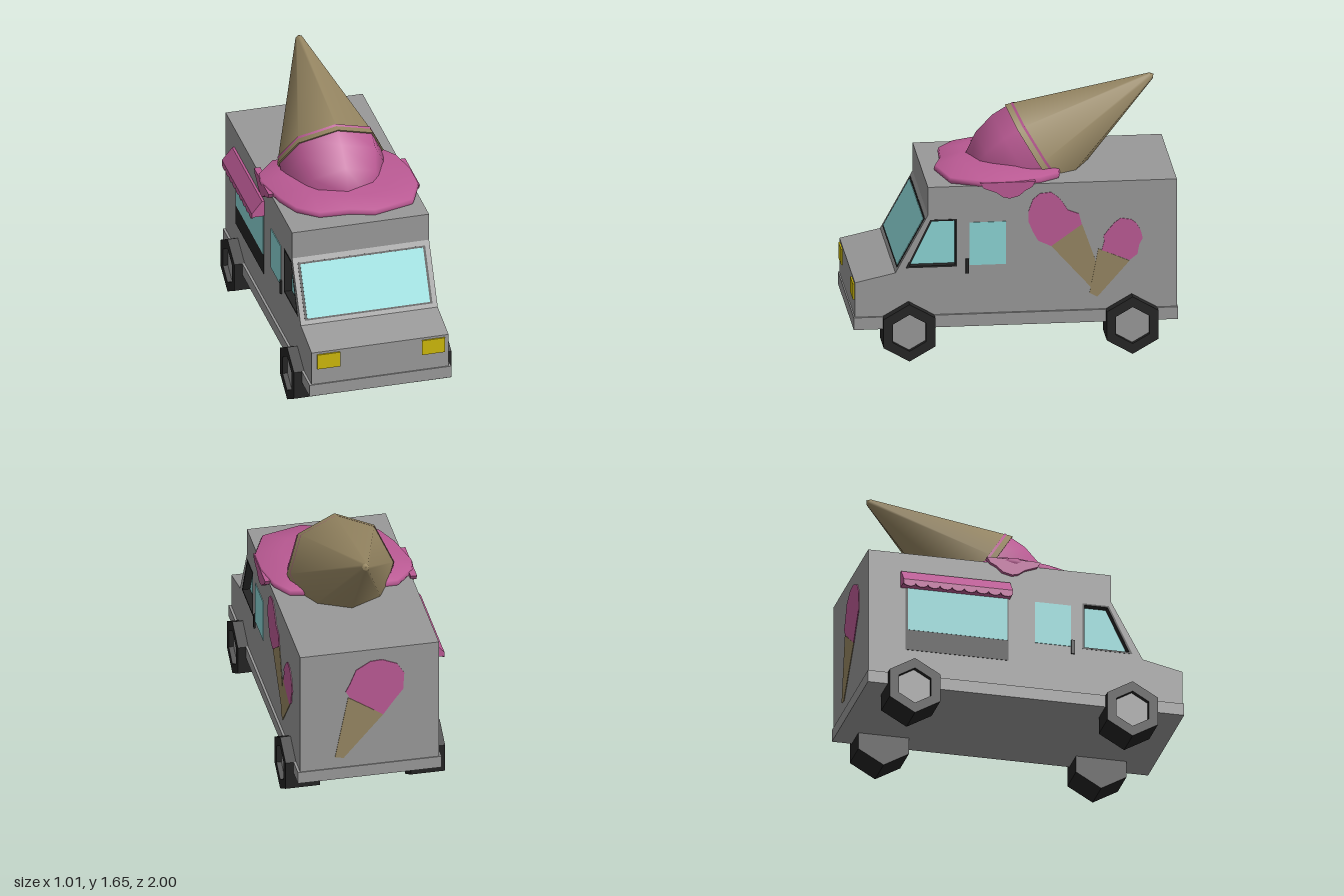
import * as THREE from 'three';

const CX = 0.005, HALF = 0.435; // body centre line and half width

const mat = (name, color, side = THREE.FrontSide) => {
  const m = new THREE.MeshStandardMaterial({ color, side });
  m.name = name;
  return m;
};

const toShape = pts => new THREE.Shape(pts.map(p => new THREE.Vector2(p[0], p[1])));

// Outline moved towards its middle, for frames and panes
function shrink(pts, fz, fy = fz) {
  const n = pts.length;
  const cz = pts.reduce((s, p) => s + p[0], 0) / n, cy = pts.reduce((s, p) => s + p[1], 0) / n;
  return pts.map(p => [cz + (p[0] - cz) * fz, cy + (p[1] - cy) * fy]);
}

// Outline in (z, y), extruded across x from x0 to x1
function slab(pts, x0, x1, holes = []) {
  const s = toShape(pts);
  for (const h of holes) s.holes.push(toShape(h));
  const g = new THREE.ExtrudeGeometry(s, { depth: x1 - x0, bevelEnabled: false });
  return g.rotateY(-Math.PI / 2).translate(x1, 0, 0);
}

const rect = (z0, z1, y0, y1) => [[z0, y0], [z1, y0], [z1, y1], [z0, y1]];

function hexagon(z, y, r) {
  return Array.from({ length: 6 }, (_, i) => {
    const a = Math.PI / 2 + i * Math.PI / 3;
    return [z + r * Math.cos(a), y + r * Math.sin(a)];
  });
}

export function createModel() {
  const gray = mat('bodyGray', 0x999999);
  const black = mat('rubberBlack', 0x242424);
  const glass = mat('glassTeal', 0x8cd6d6);
  const pink = mat('iceCreamPink', 0xbb5a94, THREE.DoubleSide);
  const tan = mat('waferTan', 0x968662, THREE.DoubleSide);
  const yellow = mat('lampYellow', 0xccb80a);

  const model = new THREE.Group();
  model.name = 'iceCreamTruck';
  const add = (name, geo, m, parent = model) => {
    const mesh = new THREE.Mesh(geo, m);
    mesh.name = name;
    parent.add(mesh);
    return mesh;
  };
  const box = (name, x0, x1, y0, y1, z0, z1, m) => add(name,
    new THREE.BoxGeometry(x1 - x0, y1 - y0, z1 - z0)
      .translate((x0 + x1) / 2, (y0 + y1) / 2, (z0 + z1) / 2), m);
  // Slab placed by distance from the centre line, on the side s = 1 or -1
  const sideSlab = (name, pts, s, a, b, m, holes) => add(name,
    slab(pts, CX + Math.min(s * a, s * b), CX + Math.max(s * a, s * b), holes), m);

  // Body: core and two side walls with recessed cab windows
  const profile = [[0.99, 0.2], [0.99, 0.5], [0.74, 0.555], [0.54, 0.92], [0.54, 1.1], [-0.994, 1.1], [-0.994, 0.2]];
  const cab = [[0.675, 0.583], [0.525, 0.89], [0.36, 0.89], [0.36, 0.583]];
  const pane = [[0.655, 0.594], [0.517, 0.88], [0.372, 0.88], [0.372, 0.594]];
  const inner = HALF - 0.05;
  add('bodyCore', slab(profile, CX - inner, CX + inner), gray);
  box('bumperSkirt', CX - 0.45, CX + 0.45, 0.2, 0.278, -1, 0.998, gray);
  for (const s of [1, -1]) {
    sideSlab('sideWall', profile, s, inner, HALF, gray, [cab]);
    sideSlab('cabWindowFrame', cab, s, inner, HALF + 0.002, black, [pane]);
    sideSlab('cabWindow', pane, s, inner, inner + 0.005, glass);
    sideSlab('doorWindow', rect(0.06, 0.285, 0.59, 0.865), s, HALF, HALF + 0.004, glass);
    sideSlab('doorHandle', rect(0.287, 0.308, 0.54, 0.632), s, HALF, HALF + 0.012, black);
    // Wheels with sunken hubs
    for (const z of [0.66, -0.715]) {
      const tyre = hexagon(z, 0.185, 0.184), rim = hexagon(z, 0.185, 0.118);
      sideSlab('tyre', tyre, s, 0.285, 0.465, black);
      sideSlab('tyreRing', tyre, s, 0.465, 0.5, black, [rim]);
      sideSlab('hub', rim, s, 0.465, 0.47, gray);
    }
    const hx = 0.01 + s * 0.333;
    box('headlight', hx - 0.073, hx + 0.073, 0.385, 0.485, 0.985, 1, yellow);
  }

  // Windscreen on the sloping front
  const screen = new THREE.Group();
  screen.name = 'windscreen';
  screen.position.set(CX, 0.735, 0.641);
  screen.rotation.x = -Math.atan2(0.2, 0.365);
  add('windscreenFrame', new THREE.BoxGeometry(0.81, 0.358, 0.006), black, screen);
  add('windscreenGlass', new THREE.BoxGeometry(0.78, 0.336, 0.012), glass, screen);
  model.add(screen);

  // Painted double cone on the left wall
  const scoopA = [[-0.08, 0.925], [-0.107, 1], [-0.15, 1.037], [-0.22, 1.043], [-0.268, 1.005], [-0.295, 0.968],
    [-0.322, 0.925], [-0.391, 0.898], [-0.408, 0.829], [-0.22, 0.695], [-0.139, 0.733], [-0.107, 0.791], [-0.08, 0.856]];
  const scoopB = [[-0.547, 0.717], [-0.542, 0.749], [-0.574, 0.791], [-0.611, 0.834], [-0.649, 0.861], [-0.713, 0.85],
    [-0.745, 0.824], [-0.772, 0.775], [-0.783, 0.727], [-0.761, 0.684], [-0.751, 0.626], [-0.702, 0.588], [-0.531, 0.658]];
  const waferA = [[-0.22, 0.695], [-0.41, 0.83], [-0.504, 0.561], [-0.472, 0.412]];
  const waferB = [[-0.51, 0.668], [-0.702, 0.583], [-0.504, 0.358], [-0.456, 0.385]];
  sideSlab('paintedWafer', waferA, 1, HALF, HALF + 0.003, tan);
  sideSlab('paintedWafer', waferB, 1, HALF, HALF + 0.004, tan);
  sideSlab('paintedScoop', scoopA, 1, HALF, HALF + 0.005, pink);
  sideSlab('paintedScoop', scoopB, 1, HALF, HALF + 0.005, pink);

  // Painted cone on the back wall
  const backScoop = [[0.129, 0.772], [0.155, 0.82], [0.129, 0.87], [0.09, 0.965], [0, 1.018], [-0.073, 1.022],
    [-0.166, 0.982], [-0.212, 0.91], [-0.205, 0.795], [-0.15, 0.725], [-0.08, 0.628]];
  const backWafer = [[0.14, 0.775], [-0.08, 0.628], [0.168, 0.346], [0.222, 0.356]];
  const backPlate = (name, pts, t, m) => add(name,
    new THREE.ExtrudeGeometry(toShape(pts), { depth: t, bevelEnabled: false }).translate(0, 0, -0.994 - t), m);
  backPlate('backWafer', backWafer, 0.004, tan);
  backPlate('backScoop', backScoop, 0.005, pink);

  // Serving hatch and scalloped awning on the right wall
  sideSlab('hatchFrame', rect(-0.76, -0.11, 0.45, 0.93), -1, HALF, HALF + 0.003, black);
  sideSlab('hatchGlass', rect(-0.745, -0.115, 0.585, 0.93), -1, HALF, HALF + 0.005, glass);
  const awning = toShape([[-0.425, 0.97], [-0.445, 0.97], [-0.51, 0.89], [-0.51, 0.865], [-0.425, 0.865]]);
  add('awning', new THREE.ExtrudeGeometry(awning, { depth: 0.69, bevelEnabled: false }).translate(0, 0, -0.79), pink);
  const scallops = 9, step = 0.69 / scallops;
  for (let i = 0; i < scallops; i++) {
    const g = new THREE.CylinderGeometry(step / 2, step / 2, 0.008, 10).rotateZ(Math.PI / 2);
    g.scale(1, 0.58, 1).translate(-0.506, 0.867, -0.79 + step * (i + 0.5));
    add('awningScallop', g, pink);
  }

  // Melted puddle on the roof, lofted from its outline inwards
  const outline = [[0.12, 0.47], [0.38, 0.4], [0.47, 0.2], [0.47, 0.02], [0.43, -0.16], [0.35, -0.28], [0.1, -0.32],
    [-0.27, -0.3], [-0.33, -0.3], [-0.45, -0.17], [-0.465, -0.07], [-0.41, 0.16], [-0.345, 0.31], [-0.22, 0.41], [-0.03, 0.42]];
  const n = outline.length, pos = [], idx = [];
  for (const [f, y] of [[0.98, 1.098], [1, 1.115], [0.98, 1.136], [0.65, 1.17], [0, 1.18]])
    for (const [x, z] of outline) pos.push(x * f, y, 0.04 + (z - 0.04) * f);
  for (let j = 0; j < 4; j++) for (let i = 0; i < n; i++) {
    const a = j * n + i, b = j * n + (i + 1) % n;
    idx.push(a, b, a + n, b, b + n, a + n);
  }
  const puddle = new THREE.BufferGeometry();
  puddle.setAttribute('position', new THREE.Float32BufferAttribute(pos, 3));
  puddle.setIndex(idx);
  puddle.computeVertexNormals();
  add('meltedPuddle', puddle, pink);
  // Drips over both roof edges
  const drip = [[0.22, 1.125], [0.2, 1.09], [0.12, 1.06], [0.08, 1.03], [0.04, 1.02], [-0.02, 1.035], [-0.06, 1.07], [-0.1, 1.09], [-0.12, 1.125]];
  sideSlab('drip', drip, 1, 0.42, 0.465, pink);
  sideSlab('drip', drip.map(([z, y]) => [z - 0.13, y]), -1, 0.42, 0.46, pink);

  // Scoop and upturned cone sharing one tilted axis
  const cone = new THREE.Group();
  cone.name = 'roofCone';
  cone.position.set(CX, 1.184, -0.157);
  cone.rotation.x = -1.021;
  const lathe = (name, pts, m) =>
    add(name, new THREE.LatheGeometry(pts.map(p => new THREE.Vector2(p[0], p[1])), 8), m, cone);
  lathe('scoop', [[0, -0.45], [0.195, -0.38], [0.285, -0.245], [0.325, -0.1], [0.325, 0.05]], pink);
  lathe('waferCone', [[0.338, 0], [0.022, 0.85]], tan);
  lathe('waferTip', [[0.022, 0.85], [0, 0.868]], tan);
  lathe('waferRim', [[0.3, 0], [0.338, 0]], tan);
  model.add(cone);

  return model;
}
